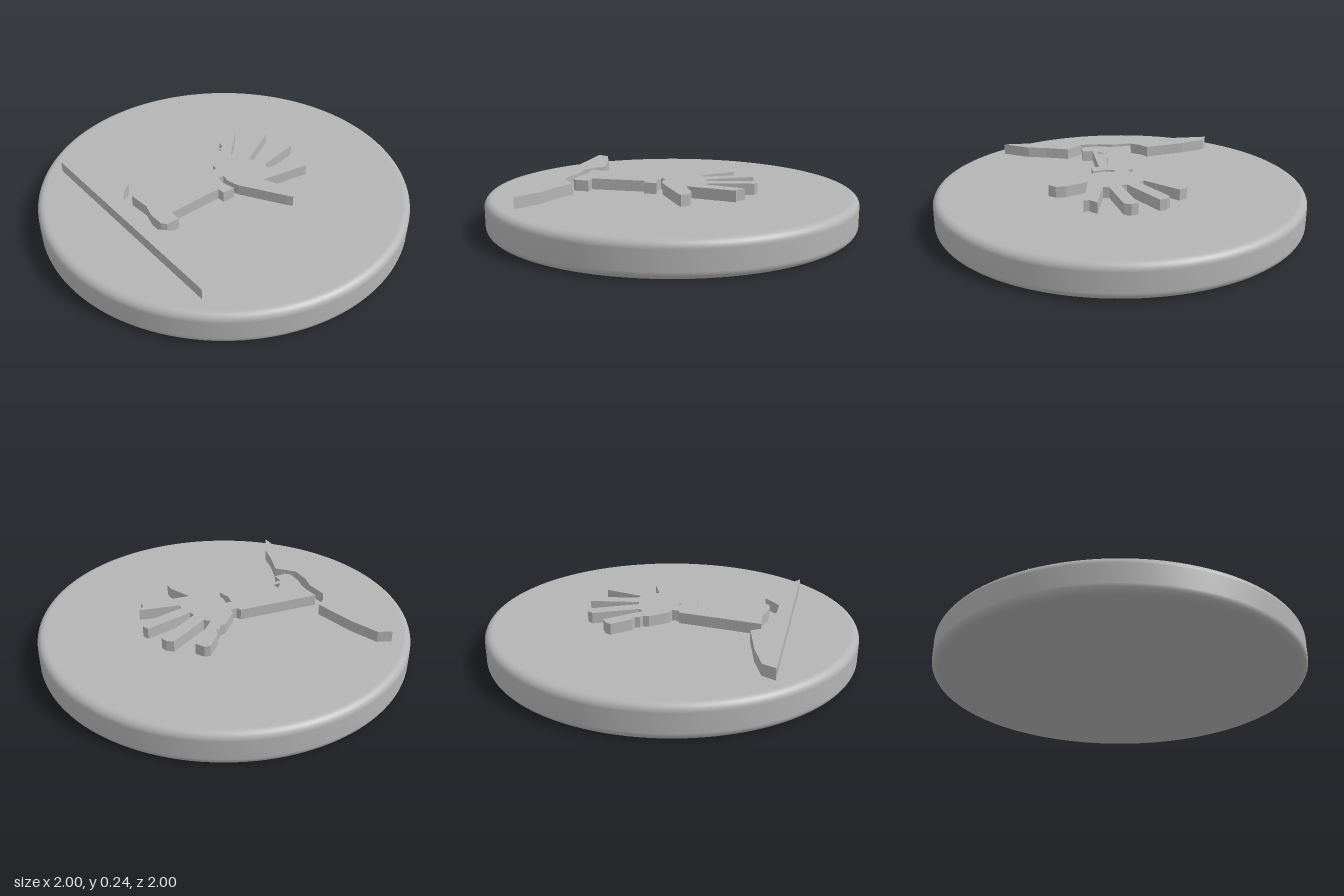
import * as THREE from 'three';

const DISC_HEIGHT = 0.18;
const RELIEF_HEIGHT = 0.06;

// Outlines seen from above, as x, z pairs in hundredths of a unit
const HAND = [
  -13.4, 50.5, -8, 6, -5.3, 5, -5.3, 1.3, -8.6, 0.8, -17, -8.3, -17, -11.5,
  -19.3, -12.6, -19.8, -15.2, -23.5, -15.8, -32, -24.5, -31, -27.5, -26.7, -30.2,
  -10.7, -13.6, -8, -16.3, -19.8, -38.8, -17.6, -42, -14, -43, -1, -18.5,
  2.1, -19.5, -2.7, -45.7, 1, -47, 4.3, -45.7, 8.6, -21.7, 11.8, -21,
  17, -42.5, 20.5, -38.8, 23.5, -38.8, 18.7, -12, 31, -17.4, 36, -17.4,
  39.6, -14, 37, -12, 14, 1.9, 7.5, 3.5, 2.7, 2.4, 2.1, 5.6, 7.5, 6.7,
  14.4, 5, 14.4, 12, 10.2, 12, 10.7, 42.5, 16.6, 42.5, 16.6, 49.5,
  14.4, 51.6, 5.9, 51.6, -1.6, 49.5,
];
const ARM_HOLE = [
  6.4, 12.6, 8, 41, 2.7, 35.6, 2.7, 32.4, 3.7, 29.7, 0.5, 27.5, 0.5, 20, 3.2, 19.5,
];
const GROUND = [
  -63.6, 63.9, -60.4, 57, -46, 51.6, -23, 46.3, -19.8, 51, -13.9, 55.3, -2.1, 54.3,
  5.3, 56.4, 16, 56.4, 25, 47.9, 38, 52.7, 48.7, 55.3, 63.1, 63.9,
];

function toPoints(list) {
  const points = [];
  for (let i = 0; i < list.length; i += 2) {
    points.push(new THREE.Vector2(list[i] / 100, -list[i + 1] / 100));
  }
  return points;
}

// Flat raised plate standing on top of the disc
function relief(name, outline, holes, material) {
  const shape = new THREE.Shape(toPoints(outline));
  shape.holes = holes.map((hole) => new THREE.Path(toPoints(hole)));
  const geometry = new THREE.ExtrudeGeometry(shape, { depth: RELIEF_HEIGHT, bevelEnabled: false });
  geometry.rotateX(-Math.PI / 2);
  geometry.translate(0, DISC_HEIGHT, 0);
  const mesh = new THREE.Mesh(geometry, material);
  mesh.name = name;
  return mesh;
}

// Round base with softly rounded upper and lower rims
function disc(material) {
  const r = 0.04;
  const profile = [new THREE.Vector2(0, 0), new THREE.Vector2(0.958, 0)];
  const addArc = (centreY, start) => {
    for (let i = 0; i <= 8; i++) {
      const a = start + (i / 8) * (Math.PI / 2);
      profile.push(new THREE.Vector2(1 - r + r * Math.cos(a), centreY + r * Math.sin(a)));
    }
  };
  addArc(r, -Math.PI / 2);
  addArc(DISC_HEIGHT - r, 0);
  profile.push(new THREE.Vector2(0.958, DISC_HEIGHT), new THREE.Vector2(0, DISC_HEIGHT));
  const mesh = new THREE.Mesh(new THREE.LatheGeometry(profile, 128), material);
  mesh.name = 'disc';
  return mesh;
}

export function createModel() {
  const grey = new THREE.MeshStandardMaterial({ color: 0xb4b4b4 });
  grey.name = 'grey';
  const group = new THREE.Group();
  group.name = 'handReliefToken';
  group.add(
    disc(grey),
    relief('handAndArm', HAND, [ARM_HOLE], grey),
    relief('groundMound', GROUND, [], grey),
  );
  return group;
}
